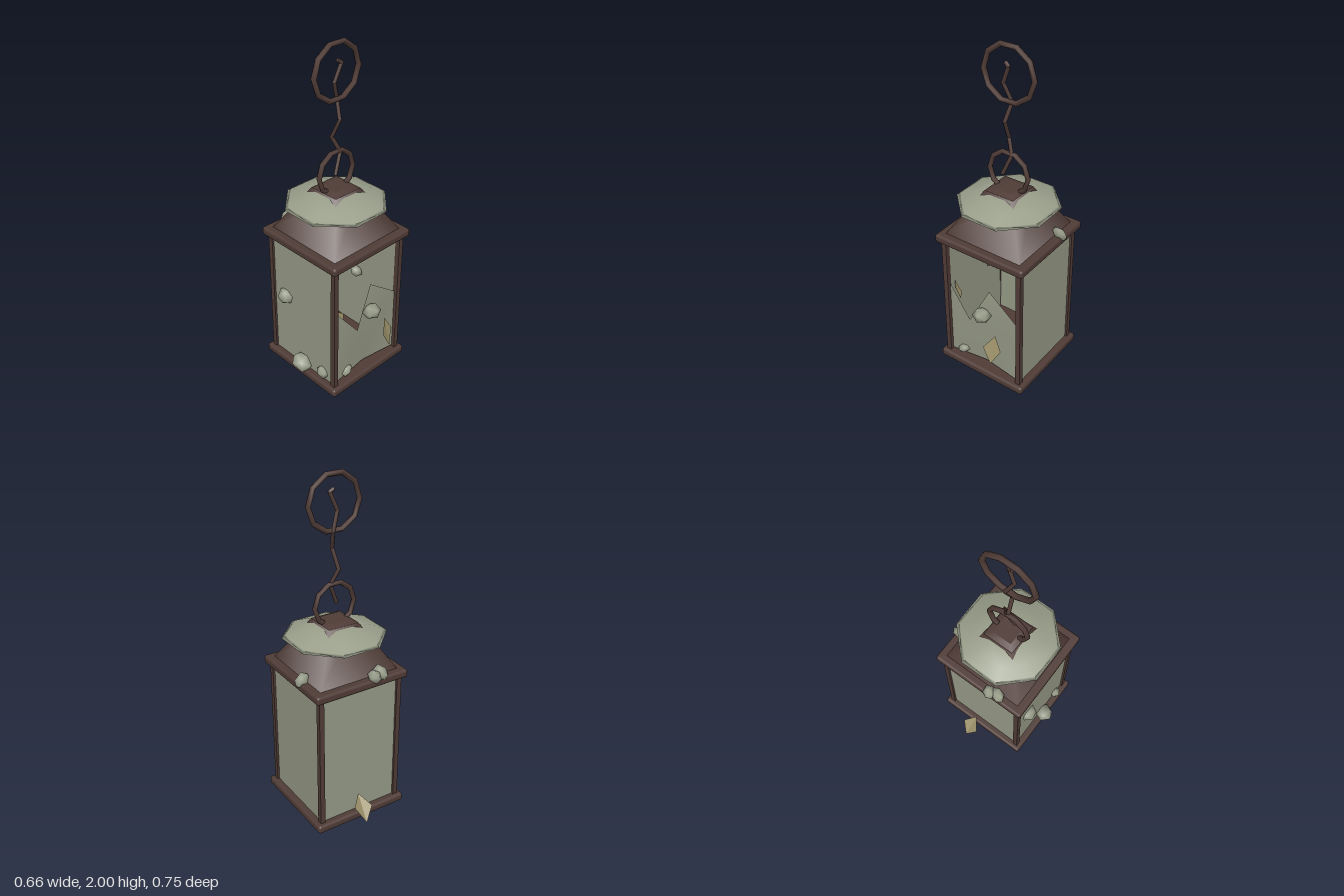
import * as THREE from 'three';
import { mergeVertices } from 'three/addons/utils/BufferGeometryUtils.js';
import { RoundedBoxGeometry } from 'three/addons/geometries/RoundedBoxGeometry.js';

const mat = (name, color, side = THREE.FrontSide) => {
  const m = new THREE.MeshStandardMaterial({ color, side });
  m.name = name;
  return m;
};

export function createModel() {
  const iron = mat('rusty iron', 0x503c37);
  const glass = mat('cloudy glass', 0x979b87);
  const brokenGlass = mat('broken glass', 0x979b87, THREE.DoubleSide);
  const moss = mat('pale moss', 0x9a9f8b);
  const amber = mat('amber shard', 0x9a8f68, THREE.DoubleSide);

  const model = new THREE.Group();
  model.name = 'lantern';
  const CX = 0.016, CZ = 0.034;

  const add = (name, geo, material, x = 0, y = 0, z = 0, parent = model) => {
    const mesh = new THREE.Mesh(geo, material);
    mesh.name = name;
    mesh.position.set(x, y, z);
    parent.add(mesh);
    return mesh;
  };

  // Body, centred on the lantern's own axis
  const body = new THREE.Group();
  body.name = 'body';
  body.position.set(CX, 0, CZ);
  model.add(body);

  // Square base and top rails
  const rail = new RoundedBoxGeometry(0.594, 0.05, 0.594, 2, 0.016);
  add('base', rail, iron, 0, 0.026, 0, body);
  add('topFrame', rail, iron, 0, 0.882, 0, body);

  // Corner posts
  for (const sx of [-1, 1]) for (const sz of [-1, 1])
    add('cornerPost', new THREE.BoxGeometry(0.03, 0.82, 0.03), iron, sx * 0.255, 0.455, sz * 0.255, body);

  // Whole panes: left, right and back
  const pane = new THREE.BoxGeometry(0.482, 0.82, 0.014);
  add('backPane', pane, glass, 0, 0.455, -0.25, body);
  for (const s of [-1, 1])
    add(s > 0 ? 'leftPane' : 'rightPane', pane, glass, s * 0.25, 0.455, 0, body).rotation.y = Math.PI / 2;

  // Broken front pane, slightly warped
  const jagged = [[-0.22, 0.06, 0], [0.02, 0.075, -0.02], [0.253, 0.06, 0], [0.253, 0.475, 0],
    [0.055, 0.62, -0.01], [-0.07, 0.37, 0.015], [-0.22, 0.56, 0]];
  const shape = new THREE.Shape(jagged.map(([x, y]) => new THREE.Vector2(x, y)));
  const brokenGeo = new THREE.ShapeGeometry(shape);
  const bp = brokenGeo.attributes.position;
  for (let i = 0; i < bp.count; i++) {
    const p = jagged.find(([x, y]) => Math.abs(x - bp.getX(i)) + Math.abs(y - bp.getY(i)) < 1e-4);
    bp.setZ(i, p ? p[2] : 0);
  }
  brokenGeo.computeVertexNormals();
  add('brokenFrontPane', brokenGeo, brokenGlass, 0, 0, 0.286);

  // Four-sided roof with a low peak
  const q = Math.SQRT2;
  const roof = new THREE.CylinderGeometry(0.094 * q, 0.252 * q, 0.263, 4);
  add('roof', roof, iron, 0, 1.0355, 0, body).rotation.y = Math.PI / 4;
  const peak = new THREE.CylinderGeometry(0.06 * q, 0.094 * q, 0.015, 4);
  add('roofPeak', peak, iron, 0, 1.1735, 0, body).rotation.y = Math.PI / 4;

  // Eight-sided moss cap
  const capProfile = [[0.12, 1.084], [0.297, 1.084], [0.276, 1.094], [0.2, 1.125], [0.12, 1.155], [0, 1.163]];
  const cap = new THREE.LatheGeometry(capProfile.map(([r, y]) => new THREE.Vector2(r, y)), 8);
  add('mossCap', cap, moss, 0, 0, 0, body).rotation.y = Math.PI / 8;

  // Hanging rings
  add('lowerRing', new THREE.TorusGeometry(0.126, 0.015, 6, 10), iron, 0, 1.265, 0, body);
  add('upperRing', new THREE.TorusGeometry(0.157, 0.016, 6, 10), iron, 0, 1.835, 0, body);

  // Kinked wire joining the rings
  const wire = [[-0.008, 1.265, 0.055], [0.04, 1.38, 0.04], [0.002, 1.47, 0.014], [0.012, 1.58, 0.064],
    [0.03, 1.68, 0.024], [-0.01, 1.785, 0.045], [0.03, 1.885, 0.055], [0.01, 1.9, 0.05]]
    .map(p => new THREE.Vector3(...p));
  const up = new THREE.Vector3(0, 1, 0);
  for (let i = 0; i < wire.length - 1; i++) {
    const dir = wire[i + 1].clone().sub(wire[i]);
    const mid = wire[i].clone().addScaledVector(dir, 0.5);
    const link = new THREE.CylinderGeometry(0.011, 0.011, dir.length() + 0.008, 6);
    add('wire', link, iron, mid.x, mid.y, mid.z).quaternion.setFromUnitVectors(up, dir.normalize());
  }

  // Moss lumps: position, then half sizes
  let lumpGeo = new THREE.IcosahedronGeometry(1, 0);
  lumpGeo.deleteAttribute('uv');
  lumpGeo.deleteAttribute('normal');
  lumpGeo = mergeVertices(lumpGeo);
  lumpGeo.computeVertexNormals();
  const lumps = [
    [0.03, 0.465, 0.315, 0.058, 0.045, 0.055],
    [-0.245, 0.485, -0.11, 0.05, 0.052, 0.055],
    [-0.27, 0.09, 0.045, 0.062, 0.045, 0.07],
    [-0.245, 0.1, 0.2, 0.04, 0.035, 0.045],
    [-0.135, 0.1, 0.285, 0.045, 0.03, 0.03],
    [0.225, 0.485, 0, 0.035, 0.035, 0.05],
    [0.29, 0.92, -0.065, 0.042, 0.026, 0.052],
    [-0.11, 0.925, -0.235, 0.055, 0.03, 0.04],
    [-0.06, 0.92, -0.248, 0.045, 0.035, 0.038],
  ];
  lumps.forEach(([x, y, z, a, b, c], i) => {
    const lump = add('mossLump', lumpGeo, moss, x, y, z);
    lump.scale.set(a, b, c);
    lump.rotation.set(i * 0.3, i * 0.15, 0);
  });

  // Loose four-cornered shards
  const shards = [
    [[0.13, 0.365, 0.325], [0.077, 0.29, 0.372], [0.13, 0.19, 0.375], [0.178, 0.28, 0.34]],
    [[0.05, 0.19, -0.265], [0.11, 0.145, -0.32], [0.06, 0.055, -0.372], [0, 0.13, -0.335]],
    [[-0.2, 0.71, -0.17], [-0.215, 0.62, -0.14], [-0.145, 0.54, -0.17], [-0.143, 0.64, -0.2]],
    [[-0.215, 0.56, 0.25], [-0.215, 0.51, 0.25], [-0.155, 0.47, 0.275], [-0.15, 0.52, 0.27]],
  ];
  for (const corners of shards) {
    const geo = new THREE.BufferGeometry();
    const tris = [0, 1, 2, 0, 2, 3].flatMap(i => corners[i]);
    geo.setAttribute('position', new THREE.Float32BufferAttribute(tris, 3));
    geo.computeVertexNormals();
    add('shard', geo, amber);
  }

  return model;
}
